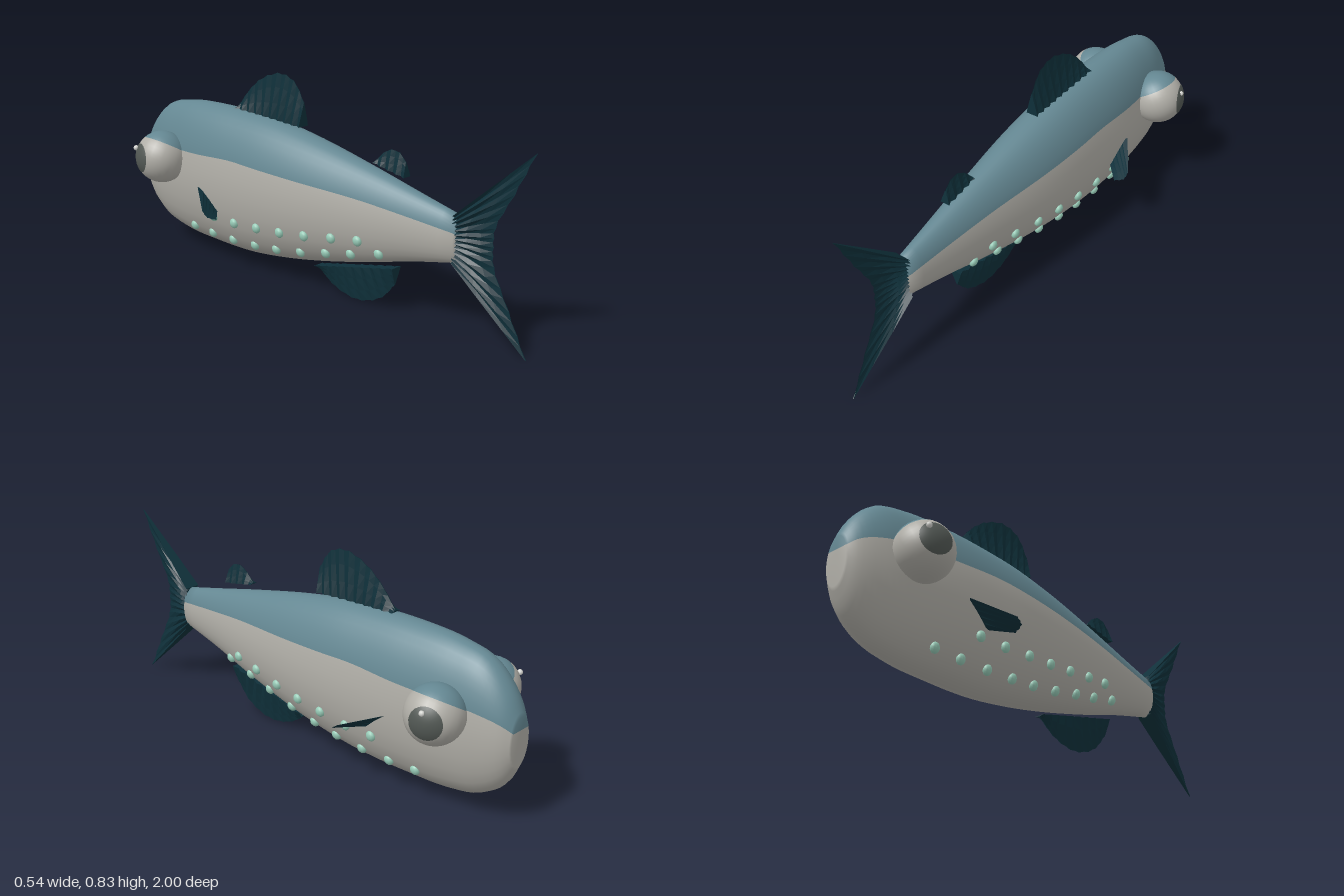
import * as THREE from 'three';

const mat = (name, color, side = THREE.FrontSide) => {
  const m = new THREE.MeshStandardMaterial({ color, side });
  m.name = name;
  return m;
};
const V = (x, y, z) => new THREE.Vector3(x, y, z);
const UP = V(0, 1, 0);

// Body stations: z, top, bottom, half width, colour line height
const STATIONS = [
  [-1, 0.44, 0.25, 0.05, 0.39], [-0.97, 0.505, 0.185, 0.075, 0.415], [-0.88, 0.605, 0.105, 0.108, 0.445],
  [-0.75, 0.645, 0.07, 0.13, 0.458], [-0.55, 0.659, 0.06, 0.15, 0.468], [-0.35, 0.655, 0.062, 0.156, 0.48],
  [-0.2, 0.645, 0.078, 0.154, 0.475], [0, 0.615, 0.112, 0.14, 0.466], [0.3, 0.553, 0.182, 0.1, 0.449],
  [0.5, 0.507, 0.238, 0.07, 0.428], [0.7, 0.462, 0.285, 0.042, 0.405],
];
const spline = new THREE.CubicInterpolant(
  STATIONS.map((s) => s[0]), STATIONS.flatMap((s) => s.slice(1)), 4, new Float32Array(4));
const section = (z) => {
  const [top, bottom, w, line] = spline.evaluate(z);
  return { c: (top + bottom) / 2, h: (top - bottom) / 2, w, line };
};

// Loft of ellipses; each ring has vertices exactly on the colour line
function bodyGeometry() {
  const rings = 44, half = 16, n = half * 2;
  const pos = [], back = [], belly = [];
  for (let i = 0; i <= rings; i++) {
    const z = -1 + 1.7 * Math.pow(i / rings, 1.5);
    const { c, h, w, line } = section(z);
    const a = Math.asin((line - c) / h);
    for (let j = 0; j < n; j++) {
      const t = j < half
        ? a + (Math.PI - 2 * a) * (j / half)
        : Math.PI - a + (Math.PI + 2 * a) * (j / half - 1);
      pos.push(w * Math.cos(t), c + h * Math.sin(t), z);
    }
  }
  for (let i = 0; i < rings; i++) {
    for (let j = 0; j < n; j++) {
      const a = i * n + j, b = i * n + (j + 1) % n;
      (j < half ? back : belly).push(a, b, b + n, a, b + n, a + n);
    }
  }
  // Nose and tail caps
  const nose = pos.length / 3, end = nose + 1, last = rings * n;
  pos.push(0, section(-1).line, -1, 0, section(0.7).c, 0.7);
  for (let j = 0; j < n; j++) {
    const k = (j + 1) % n, list = j < half ? back : belly;
    list.push(nose, k, j);
    list.push(end, last + j, last + k);
  }
  const g = new THREE.BufferGeometry();
  g.setAttribute('position', new THREE.Float32BufferAttribute(pos, 3));
  g.setIndex([...back, ...belly]);
  g.addGroup(0, back.length, 0);
  g.addGroup(back.length, belly.length, 1);
  g.computeVertexNormals();
  return g;
}

// Faceted fin: ribs run from a root curve to a tip curve, thinning outward
function finGeometry(root, tip, ribs, thick, across = V(1, 0, 0)) {
  const rootCurve = new THREE.CatmullRomCurve3(root), tipCurve = new THREE.CatmullRomCurve3(tip);
  const rows = [[0, 0], [0, 1], [0.35, 0.7], [0.7, 0.35], [1, 0.06]]; // distance out, thickness
  const n = (ribs + 1) * 2, pos = [], idx = [];
  for (const [u, k] of rows) {
    for (let j = 0; j < n; j++) {
      const sign = j <= ribs ? 1 : -1;
      const i = j <= ribs ? j : n - 1 - j;
      const odd = i % 2 === 1;
      const p = rootCurve.getPoint(i / ribs)
        .lerp(tipCurve.getPoint(i / ribs), u * (odd ? 0.97 : 1))
        .addScaledVector(across, sign * thick * k * (odd ? 0.6 : 1));
      pos.push(p.x, p.y, p.z);
    }
  }
  for (let r = 0; r < rows.length - 1; r++) {
    for (let j = 0; j < n; j++) {
      const a = r * n + j, b = r * n + (j + 1) % n;
      idx.push(a, b, b + n, a, b + n, a + n);
    }
  }
  const g = new THREE.BufferGeometry();
  g.setAttribute('position', new THREE.Float32BufferAttribute(pos, 3));
  g.setIndex(idx);
  const flat = g.toNonIndexed();
  flat.computeVertexNormals();
  return flat;
}

export function createModel() {
  const model = new THREE.Group();
  model.name = 'fish';
  const back = mat('slateBlue', 0x648792), belly = mat('paleGrey', 0xb0aea7);
  const finMat = mat('darkTeal', 0x0f303a, THREE.DoubleSide);
  const pupilMat = mat('pupilGrey', 0x525854), glow = mat('mint', 0x98ccb8), shine = mat('shine', 0xd4d4d0);
  const add = (parent, name, geometry, material) => {
    const m = new THREE.Mesh(geometry, material);
    m.name = name;
    parent.add(m);
    return m;
  };

  add(model, 'body', bodyGeometry(), [back, belly]);

  // Fins on the centre line, given as [z, y] points
  const line = (pts) => pts.map(([z, y]) => V(0, y, z));
  const midFin = (name, root, tip, ribs, thick) =>
    add(model, name, finGeometry(line(root), line(tip), ribs, thick), finMat);
  midFin('dorsalFin', [[-0.07, 0.645], [-0.25, 0.655], [-0.44, 0.662]],
    [[-0.065, 0.74], [-0.115, 0.815], [-0.19, 0.84], [-0.29, 0.81], [-0.37, 0.75], [-0.44, 0.668]], 18, 0.026);
  midFin('smallDorsalFin', [[0.455, 0.55], [0.38, 0.563], [0.305, 0.578]],
    [[0.45, 0.605], [0.42, 0.635], [0.38, 0.64], [0.34, 0.618], [0.305, 0.582]], 8, 0.02);
  midFin('analFin', [[0.415, 0.19], [0.2, 0.14], [0.01, 0.095]],
    [[0.41, 0.12], [0.34, 0.045], [0.22, 0.005], [0.1, 0.03], [0.01, 0.09]], 18, 0.026);
  midFin('tailFin', [[0.69, 0.465], [0.69, 0.38], [0.69, 0.29]],
    [[1, 0.745], [0.92, 0.585], [0.85, 0.45], [0.845, 0.38], [0.85, 0.31], [0.92, 0.165], [1, 0.005]], 24, 0.034);

  // Rows of light organs, [z, y]
  const lights = [
    [0.38, 0.25], [0.3, 0.29], [0.18, 0.275], [0.05, 0.255], [-0.075, 0.24], [-0.2, 0.23], [-0.33, 0.22], [-0.455, 0.22],
    [0.25, 0.22], [0.13, 0.195], [0, 0.167], [-0.13, 0.147], [-0.25, 0.135], [-0.38, 0.127], [-0.51, 0.126], [-0.63, 0.13],
  ];
  const lightGeometry = new THREE.SphereGeometry(1, 10, 8);
  const eyeR = 0.11, lidAngle = 1.13;

  for (const s of [1, -1]) {
    const side = s > 0 ? 'left' : 'right';

    // Eye: coloured lid cap, pale ball and pupil cap
    const eye = new THREE.Group();
    eye.name = side + 'Eye';
    eye.position.set(s * 0.158, 0.423, -0.757);
    model.add(eye);
    const aim = (mesh, dir) => mesh.quaternion.setFromUnitVectors(UP, dir.normalize());
    aim(add(eye, 'eyeLid', new THREE.SphereGeometry(eyeR, 28, 10, 0, Math.PI * 2, 0, lidAngle), back), V(-0.6 * s, 1, 0));
    aim(add(eye, 'eyeBall', new THREE.SphereGeometry(eyeR, 28, 14, 0, Math.PI * 2, lidAngle, Math.PI - lidAngle), belly),
      V(-0.6 * s, 1, 0));
    aim(add(eye, 'pupil', new THREE.SphereGeometry(eyeR + 0.002, 24, 6, 0, Math.PI * 2, 0, 0.58), pupilMat),
      V(0.94 * s, 0.06, -0.32));
    add(eye, 'eyeShine', new THREE.SphereGeometry(0.011, 10, 8), shine)
      .position.set(s * (s > 0 ? 0.098 : 0.088), 0.043, s > 0 ? -0.02 : -0.062);

    // Pectoral fin, swept back and down
    add(model, side + 'PectoralFin', finGeometry(
      [V(s * 0.148, 0.33, -0.525), V(s * 0.148, 0.295, -0.48), V(s * 0.146, 0.258, -0.44)],
      [V(s * 0.253, 0.282, -0.39), V(s * 0.25, 0.262, -0.365), V(s * 0.212, 0.246, -0.355)],
      8, 0.012, V(s * 0.7, 0.4, -0.55).normalize()), finMat);

    const row = new THREE.Group();
    row.name = side + 'LightOrgans';
    model.add(row);
    for (const [z, y] of lights) {
      const { c, h, w } = section(z);
      const k = (y - c) / h;
      const x = w * Math.sqrt(Math.max(0, 1 - k * k));
      const organ = add(row, 'lightOrgan', lightGeometry, glow);
      organ.scale.set(0.014, 0.021, 0.02);
      organ.position.set(s * (x + 0.002), y, z);
      organ.rotation.z = s * Math.atan2(-k * w, h * x / w) * 0.6 * -1;
    }
  }
  return model;
}
